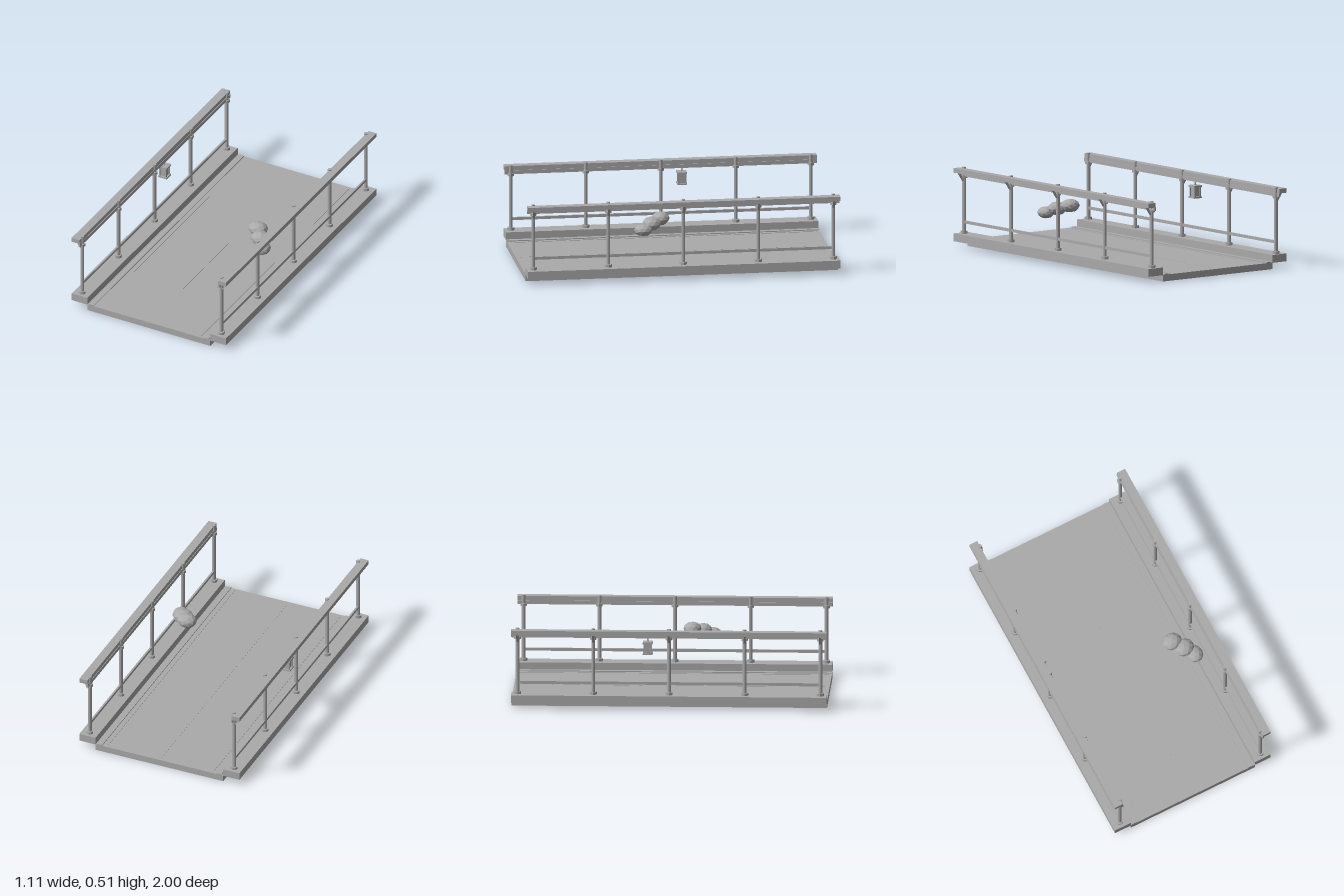
import * as THREE from 'three';

export function createModel() {
  const model = new THREE.Group();
  model.name = 'footbridge';
  const stone = new THREE.MeshStandardMaterial({ color: 0xaaaaaa });
  stone.name = 'plain grey';
  stone.flatShading = true;

  const add = (parent, name, geometry, x, y, z) => {
    const mesh = new THREE.Mesh(geometry, stone);
    mesh.name = name;
    mesh.position.set(x, y, z);
    parent.add(mesh);
    return mesh;
  };
  // box given by its lower and upper limits
  const box = (parent, name, x0, x1, y0, y1, z0, z1) =>
    add(parent, name, new THREE.BoxGeometry(Math.abs(x1 - x0), y1 - y0, z1 - z0),
      (x0 + x1) / 2, (y0 + y1) / 2, (z0 + z1) / 2);
  const rod = (parent, name, r, y0, y1, x, z, sides) =>
    add(parent, name, new THREE.CylinderGeometry(r, r, y1 - y0, sides), x, (y0 + y1) / 2, z);

  // road deck with centre dashes
  box(model, 'deck', -0.443, 0.443, 0, 0.042, -1, 1);
  for (let i = -2; i <= 2; i++) {
    const z0 = Math.max(i * 0.48 - 0.21, -0.97), z1 = Math.min(i * 0.48 + 0.21, 0.97);
    box(model, 'centreDash', -0.004, 0.004, 0.041, 0.0435, z0, z1);
  }

  // both sides: curb, gutter, posts and rails
  const postZ = [-0.96, -0.48, 0, 0.48, 0.96];
  for (const s of [-1, 1]) {
    const side = new THREE.Group();
    side.name = s > 0 ? 'leftSide' : 'rightSide';
    model.add(side);
    box(side, 'curb', s * 0.443, s * 0.556, 0.04, 0.09, -1, 1);
    box(side, 'gutterStrip', s * 0.397, s * 0.43, 0.041, 0.048, -1, 1);
    box(side, 'edgeLine', s * 0.364, s * 0.37, 0.041, 0.0445, -0.98, 0.98);
    box(side, 'topRail', s * 0.5, s * 0.556, 0.479, 0.508, -1, 1);
    box(side, 'railBeam', s * 0.496, s * 0.508, 0.456, 0.48, -1, 1);
    box(side, 'lowerRail', s * 0.495, s * 0.507, 0.155, 0.173, -0.95, 0.95);
    for (const z of postZ) {
      rod(side, 'post', 0.0125, 0.09, 0.515, s * 0.501, z, 12);
      rod(side, 'postFoot', 0.023, 0.09, 0.107, s * 0.501, z, 8);
      rod(side, 'postCollar', 0.021, 0.445, 0.463, s * 0.501, z, 8);
      const brace = add(side, 'brace', new THREE.BoxGeometry(0.01, 0.068, 0.014), s * 0.526, 0.455, z);
      brace.rotation.z = -s * 0.6;
    }
  }

  // lantern hanging under the right rail
  const lantern = new THREE.Group();
  lantern.name = 'lantern';
  lantern.position.set(-0.501, 0, -0.134);
  model.add(lantern);
  rod(lantern, 'lanternHanger', 0.004, 0.43, 0.48, 0, 0, 6);
  box(lantern, 'lanternCap', -0.031, 0.031, 0.421, 0.434, -0.031, 0.031);
  box(lantern, 'lanternBase', -0.031, 0.031, 0.352, 0.362, -0.031, 0.031);
  box(lantern, 'lanternCore', -0.019, 0.019, 0.362, 0.421, -0.019, 0.019);
  for (const x of [-0.022, 0.022]) for (const z of [-0.022, 0.022])
    box(lantern, 'lanternBar', x - 0.004, x + 0.004, 0.362, 0.421, z - 0.004, z + 0.004);

  // cluster of faceted puffs: centre, then radii
  const puffs = [
    [0.31, 0.347, 0.118, 0.065, 0.043, 0.057],
    [0.363, 0.327, 0.182, 0.065, 0.044, 0.06],
    [0.408, 0.298, 0.242, 0.053, 0.038, 0.059],
  ];
  for (const [x, y, z, rx, ry, rz] of puffs)
    add(model, 'puff', new THREE.IcosahedronGeometry(1, 1).scale(rx, ry, rz), x, y, z);

  return model;
}
